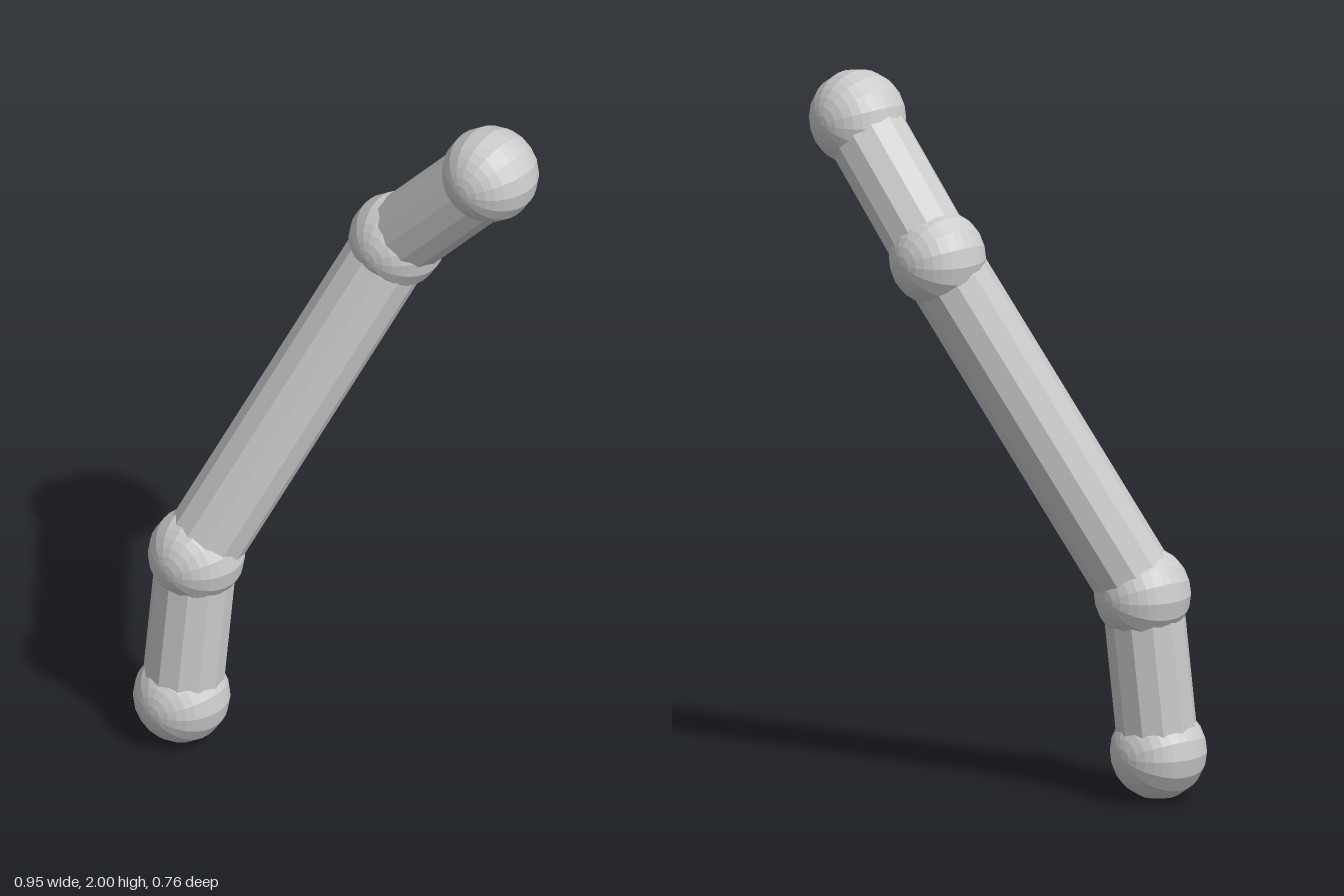
import * as THREE from 'three';

const BALL_RADIUS = 0.133;
const ROD_RADIUS = 0.112;

export function createModel() {
  const group = new THREE.Group();
  const material = new THREE.MeshStandardMaterial({ color: 0xcccccc, flatShading: true });

  // Centres of the balls, from bottom to top
  const joints = [
    ['bottomBall', new THREE.Vector3(-0.34, 0.133, 0.247)],
    ['lowerJoint', new THREE.Vector3(-0.322, 0.58, 0.205)],
    ['upperJoint', new THREE.Vector3(0.027, 1.53, -0.232)],
    ['topBall', new THREE.Vector3(0.34, 1.867, -0.25)],
  ];
  const rodNames = ['lowerRod', 'middleRod', 'upperRod'];

  // Balls, with their poles along z
  const ballGeometry = new THREE.SphereGeometry(BALL_RADIUS, 16, 16).rotateX(Math.PI / 2);
  for (const [name, centre] of joints) {
    const ball = new THREE.Mesh(ballGeometry, material);
    ball.name = name;
    ball.position.copy(centre);
    group.add(ball);
  }

  // Faceted rods joining each ball to the next
  const up = new THREE.Vector3(0, 1, 0);
  rodNames.forEach((name, i) => {
    const start = joints[i][1];
    const end = joints[i + 1][1];
    const span = end.clone().sub(start);
    const geometry = new THREE.CylinderGeometry(ROD_RADIUS, ROD_RADIUS, span.length(), 12);
    const rod = new THREE.Mesh(geometry, material);
    rod.name = name;
    rod.position.copy(start).lerp(end, 0.5);
    rod.quaternion.setFromUnitVectors(up, span.normalize());
    group.add(rod);
  });

  return group;
}
